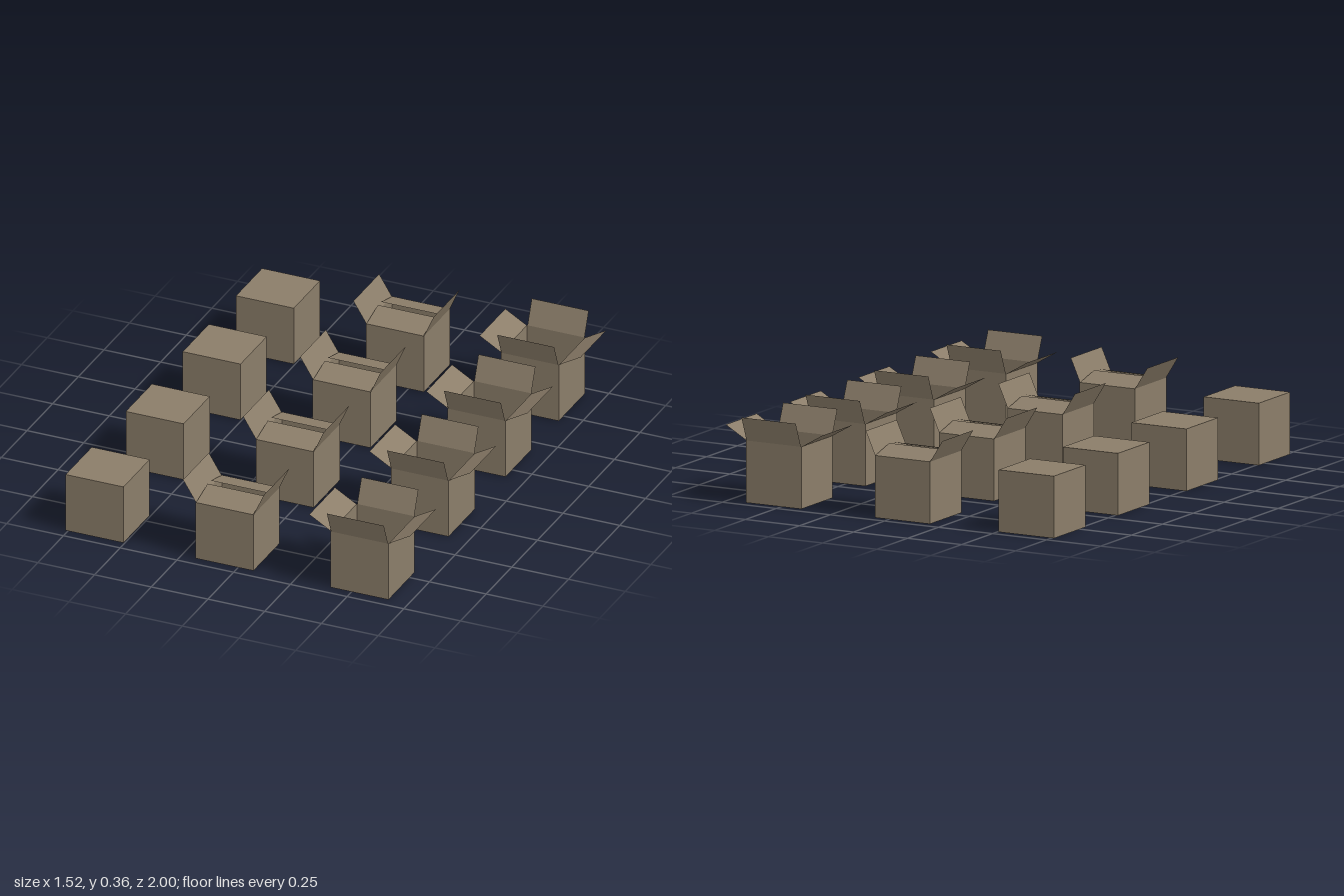
import * as THREE from 'three';

const SIZE = 0.255;
const HALF = SIZE / 2;
const cardboard = new THREE.MeshStandardMaterial({ color: 0x8b7d69, side: THREE.DoubleSide, flatShading: true });

function panel(name, width, height) {
  const mesh = new THREE.Mesh(new THREE.PlaneGeometry(width, height), cardboard);
  mesh.name = name;
  return mesh;
}

// Carton with four walls, a floor and four hinged flaps.
// Flaps are [length, degrees above the outward horizontal] for +z, +x, -z, -x.
function carton(name, flaps) {
  const box = new THREE.Group();
  box.name = name;

  const floor = panel('floor', SIZE, SIZE);
  floor.rotation.x = Math.PI / 2;
  box.add(floor);

  const names = ['front', 'left', 'back', 'right'];
  flaps.forEach(([length, degrees], i) => {
    const side = new THREE.Group();
    side.name = names[i] + 'Side';
    side.rotation.y = (i * Math.PI) / 2;

    const wall = panel(names[i] + 'Wall', SIZE, SIZE);
    wall.position.set(0, HALF, HALF);

    // Flap turns about the top edge of its wall
    const flap = panel(names[i] + 'Flap', SIZE - 0.004, length);
    flap.geometry.rotateX(-Math.PI / 2).translate(0, 0, length / 2);
    flap.position.set(0, SIZE, HALF);
    flap.rotation.x = -THREE.MathUtils.degToRad(degrees);

    side.add(wall, flap);
    box.add(side);
  });
  return box;
}

export function createModel() {
  const model = new THREE.Group();
  model.name = 'cartons';

  // One column each of closed, half-open and open cartons
  const columns = [
    { name: 'closedCarton', x: -0.633, flaps: [[HALF, 180], [0.11, 181.5], [HALF, 180], [0.11, 181.5]] },
    { name: 'halfOpenCarton', x: -0.06, flaps: [[0.117, 165], [0.105, 66], [0.117, 165], [0.106, 58]] },
    { name: 'openCarton', x: 0.535, flaps: [[0.11, 68], [0.11, 30], [0.11, 68], [0.11, 30]] },
  ];
  const rows = [-0.832, -0.313, 0.242, 0.828];

  for (const { name, x, flaps } of columns) {
    for (const z of rows) {
      const box = carton(name, flaps);
      box.position.set(x, 0, z);
      model.add(box);
    }
  }
  return model;
}
